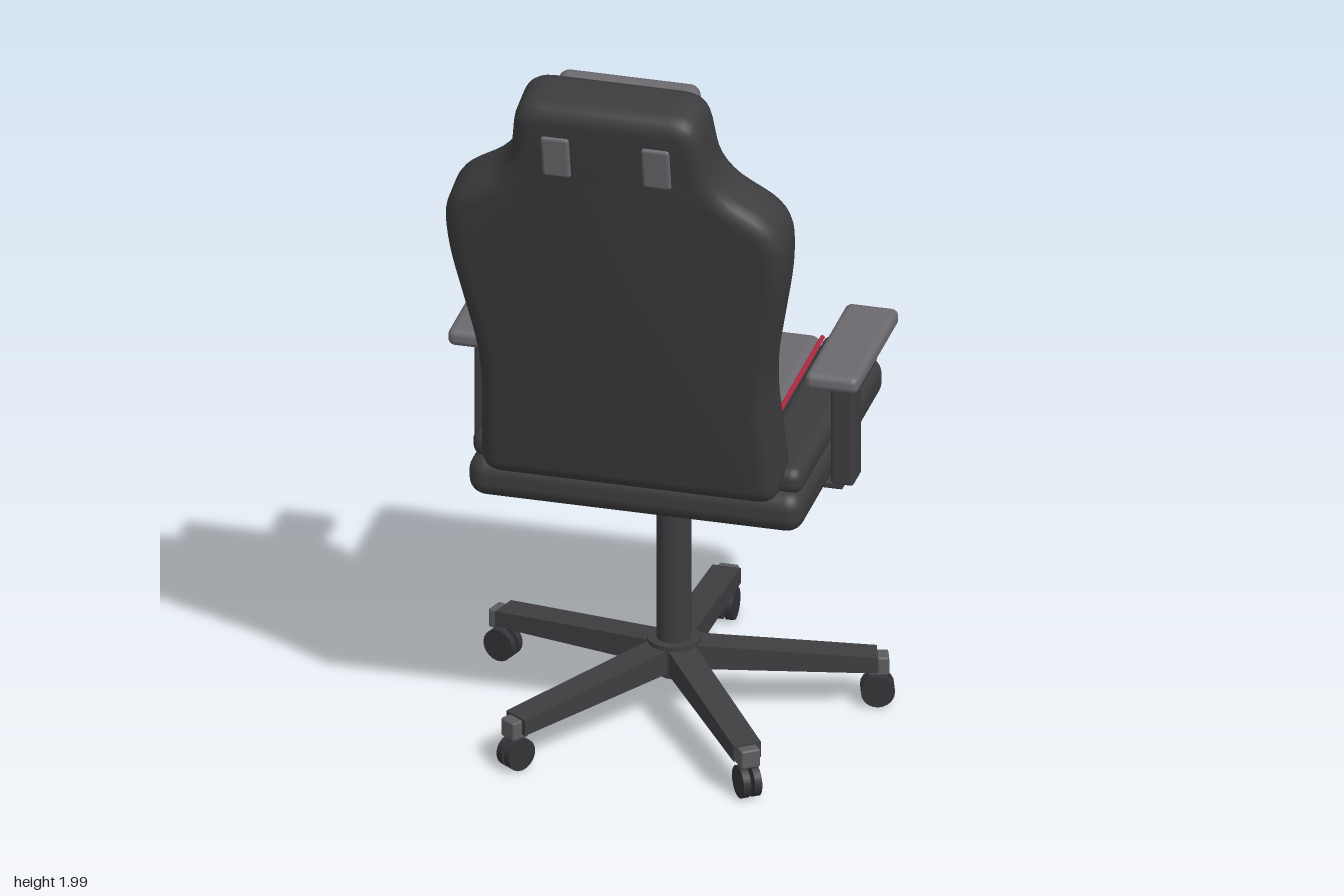
import * as THREE from 'three';
import { toCreasedNormals } from 'three/addons/utils/BufferGeometryUtils.js';
import { RoundedBoxGeometry } from 'three/addons/geometries/RoundedBoxGeometry.js';

const mat = (name, color) => {
  const m = new THREE.MeshStandardMaterial({ color });
  m.name = name;
  return m;
};

// Closed symmetric outline from right-hand [halfWidth, height, cornerRadius] points, bottom to top
function symmetricShape(half) {
  const pts = [...half, ...half.slice().reverse().map(([x, y, r]) => [-x, y, r])];
  const n = pts.length;
  const shape = new THREE.Shape();
  pts.forEach(([x, y, r], i) => {
    const p = new THREE.Vector2(x, y);
    const toward = ([qx, qy]) => {
      const d = new THREE.Vector2(qx, qy).sub(p);
      return p.clone().addScaledVector(d, Math.min(r / d.length(), 0.48));
    };
    const a = toward(pts[(i + n - 1) % n]);
    const b = toward(pts[(i + 1) % n]);
    if (i === 0) shape.moveTo(a.x, a.y);
    else shape.lineTo(a.x, a.y);
    shape.quadraticCurveTo(x, y, b.x, b.y);
  });
  shape.closePath();
  return shape;
}

// Extruded slab centred on z = 0 with rounded edges
function slab(half, thickness, bevel) {
  const g = new THREE.ExtrudeGeometry(symmetricShape(half), {
    depth: thickness - 2 * bevel, bevelThickness: bevel, bevelSize: bevel,
    bevelOffset: -bevel, bevelSegments: 5, curveSegments: 6,
  });
  g.translate(0, 0, -thickness / 2 + bevel);
  return toCreasedNormals(g, 0.7);
}

export function createModel() {
  const leather = mat('dark leather', 0x3c3c3e);
  const fabric = mat('grey fabric', 0x6c696e);
  const red = mat('red piping', 0xb8263f);
  const frame = mat('dark frame', 0x3e3e41);
  const steel = mat('grey steel', 0x5c5c5f);
  const rubber = mat('wheel rubber', 0x333337);

  const chair = new THREE.Group();
  chair.name = 'officeChair';
  const add = (parent, name, geo, material, x = 0, y = 0, z = 0) => {
    const m = new THREE.Mesh(geo, material);
    m.name = name;
    m.position.set(x, y, z);
    parent.add(m);
    return m;
  };
  const rbox = (w, h, d, r) => new RoundedBoxGeometry(w, h, d, 4, r);
  const cyl = (r, h, n = 24) => new THREE.CylinderGeometry(r, r, h, n);

  // Seat
  add(chair, 'seatBase', rbox(0.85, 0.11, 0.815, 0.045), leather, 0, 0.775, -0.08);
  add(chair, 'seatCushion', rbox(0.55, 0.08, 0.74, 0.025), fabric, 0, 0.84, -0.08);
  for (const s of [-1, 1]) {
    add(chair, 'seatBolster', rbox(0.14, 0.075, 0.755, 0.033), leather, s * 0.35, 0.852, -0.0775);
    add(chair, 'seatPiping', cyl(0.006, 0.68, 8).rotateX(Math.PI / 2), red, s * 0.277, 0.874, -0.1);
  }

  // Reclined backrest
  const back = new THREE.Group();
  back.name = 'backrest';
  back.position.set(0, 0.84, 0.294);
  back.rotation.x = 0.2;
  chair.add(back);
  add(back, 'backShell', slab([
    [0.38, -0.01, 0.06], [0.362, 0.34, 0.1], [0.43, 0.69, 0.08], [0.432, 0.845, 0.08],
    [0.258, 0.955, 0.08], [0.232, 1.168, 0.07],
  ], 0.17, 0.045), leather);
  add(back, 'backPanel', slab([
    [0.235, 0.05, 0.02], [0.258, 0.74, 0.03], [0.185, 0.93, 0.03],
  ], 0.03, 0.008), fabric, 0, 0, -0.076);
  add(back, 'lumbarPillow', rbox(0.48, 0.21, 0.11, 0.03), fabric, 0, 0.263, -0.149);
  add(back, 'headPillow', rbox(0.36, 0.165, 0.095, 0.028), fabric, 0, 1.021, -0.133);
  for (const s of [-1, 1]) {
    add(back, 'backPiping', cyl(0.006, 0.794, 8), red, s * 0.262, 0.489, -0.087);
    add(back, 'pillowStrap', rbox(0.072, 0.12, 0.02, 0.009), fabric, s * 0.1275, 1.027, 0.082);
  }

  // Armrests
  for (const s of [-1, 1]) {
    const arm = new THREE.Group();
    arm.name = s > 0 ? 'leftArmrest' : 'rightArmrest';
    chair.add(arm);
    add(arm, 'armPad', rbox(0.135, 0.045, 0.405, 0.018), fabric, s * 0.454, 1.057, -0.0575);
    add(arm, 'armPost', rbox(0.058, 0.32, 0.082, 0.008), frame, s * 0.453, 0.885, -0.005);
    add(arm, 'armBracket', rbox(0.18, 0.02, 0.08, 0.006), frame, s * 0.365, 0.722, -0.005);
  }

  // Tilt mechanism and lever
  add(chair, 'tiltMechanism', rbox(0.39, 0.06, 0.36, 0.008), steel, 0, 0.695, -0.065);
  add(chair, 'tiltLever', cyl(0.01, 0.2, 12).rotateZ(Math.PI / 2), frame, 0.25, 0.686, -0.157);

  // Gas lift and hub
  const base = new THREE.Group();
  base.name = 'swivelBase';
  base.position.z = -0.065;
  chair.add(base);
  add(base, 'gasPiston', cyl(0.028, 0.13), steel, 0, 0.605, 0);
  add(base, 'gasCylinder', cyl(0.043, 0.37), frame, 0, 0.365, 0);
  add(base, 'hub', cyl(0.066, 0.08), frame, 0, 0.16, 0);
  add(base, 'hubCap', cyl(0.035, 0.03), frame, 0, 0.112, 0);

  // Sloping leg beam, thinner at the tip
  const legGeo = new THREE.BoxGeometry(0.072, 1, 0.5);
  const p = legGeo.attributes.position;
  for (let i = 0; i < p.count; i++) {
    const tip = p.getZ(i) > 0;
    const top = p.getY(i) > 0;
    p.setY(i, tip ? (top ? 0.142 : 0.1) : (top ? 0.195 : 0.128));
    p.setZ(i, tip ? 0.5 : 0);
  }
  legGeo.computeVertexNormals();

  // Five legs with twin-wheel casters
  for (let i = 0; i < 5; i++) {
    const leg = new THREE.Group();
    leg.name = 'leg' + (i + 1);
    leg.rotation.y = Math.PI + (i * Math.PI * 2) / 5;
    base.add(leg);
    add(leg, 'legBeam', legGeo, frame);
    add(leg, 'casterCap', rbox(0.05, 0.05, 0.05, 0.006), steel, 0, 0.112, 0.503);
    add(leg, 'casterAxle', cyl(0.01, 0.03, 10).rotateZ(Math.PI / 2), steel, 0, 0.042, 0.5);
    for (const s of [-1, 1]) {
      add(leg, 'casterWheel', cyl(0.042, 0.019, 20).rotateZ(Math.PI / 2), rubber, s * 0.0145, 0.042, 0.5);
    }
  }
  return chair;
}
